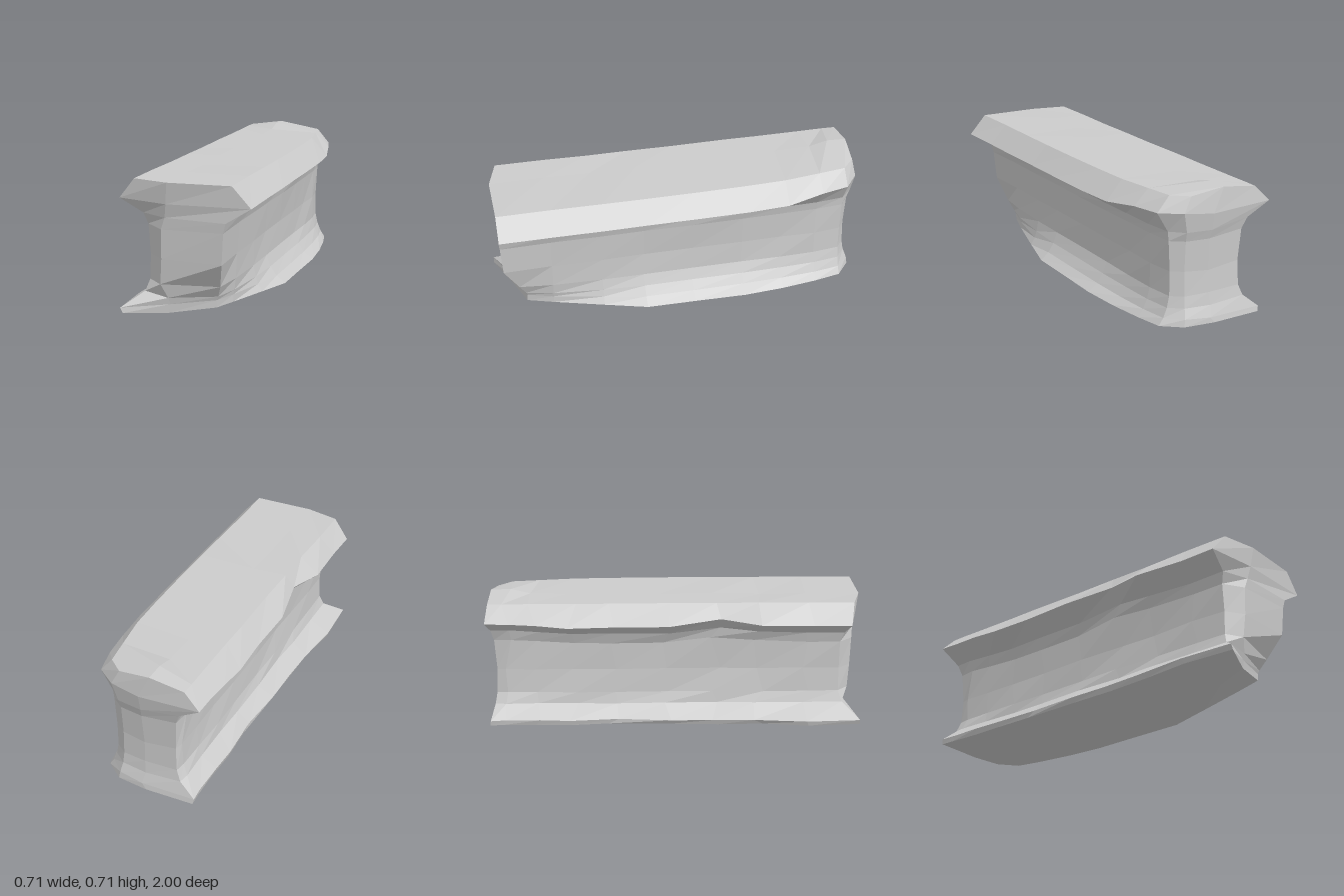
import * as THREE from 'three';

// Sections along the beam: z, reach of head, foot and web on each side, crown height, under-head lift, foot lift on the right
const stations = [
  // z, headL, headR, footL, footR, webL, webR, crown, lift, footLift
  [1.00, -0.345, 0.355, -0.32, 0.135, -0.20, 0.20, 0.683, 0.00, 0.03],
  [0.72, -0.345, 0.355, -0.335, 0.175, -0.20, 0.195, 0.685, 0.00, 0.025],
  [0.45, -0.355, 0.355, -0.31, 0.245, -0.20, 0.195, 0.68, 0.01, 0.012],
  [0.22, -0.30, 0.355, -0.30, 0.30, -0.20, 0.195, 0.687, 0.03, 0],
  [-0.05, -0.355, 0.35, -0.30, 0.305, -0.20, 0.195, 0.685, 0.00, 0],
  [-0.33, -0.345, 0.345, -0.29, 0.31, -0.20, 0.195, 0.685, 0.00, 0],
  [-0.55, -0.35, 0.335, -0.30, 0.295, -0.20, 0.195, 0.685, 0.00, 0],
  [-0.75, -0.345, 0.295, -0.30, 0.27, -0.20, 0.195, 0.69, 0.01, 0],
  [-0.90, -0.345, 0.255, -0.30, 0.235, -0.20, 0.18, 0.715, 0.02, 0],
  [-1.00, -0.345, 0.15, -0.305, 0.14, -0.19, 0.12, 0.712, 0.02, 0],
];

// Heights of the rows from foot to head, right and left
const rowsR = [0.012, 0.05, 0.10, 0.16, 0.29, 0.45, 0.50, 0.58, 0.685];
const rowsL = [0.012, 0.04, 0.11, 0.17, 0.30, 0.45, 0.51, 0.58, 0.685];
const N = rowsR.length;

// How far each row spreads from the web towards the foot or head tip
const flareR = [1, 0.55, 0.24, 0.04, 0, 0.08, 0.17, 1];
const flareL = [0.93, 1, 0.22, 0.04, 0, 0.06, 0.2, 1];
const flareNarrow = [1, 1, 0.85, 0.5, 0, 0.08, 0.17, 1];

// How far each row of the two broken ends reaches along z
const front = {
  right: [0.86, 0.86, 0.865, 0.90, 0.98, 0.99, 0.995, 1, 1],
  middle: [0.92, 0.92, 0.93, 0.95, 0.96, 0.965, 0.97, 0.985, 1],
  left: [1, 1, 0.91, 0.89, 0.89, 0.89, 0.91, 0.93, 0.95],
  middleX: -0.1,
};
const backReach = [-1, -0.995, -0.975, -0.965, -0.96, -0.97, -0.985, -1, -0.99];
const back = { right: backReach.map((z) => z * 0.98), middle: backReach, left: backReach, middleX: -0.03 };

// Small repeatable roughness
let seed = 7;
function rough(amount) {
  seed = (seed * 16807) % 2147483647;
  return (seed / 2147483647 - 0.5) * 2 * amount;
}

// Sideways position of a row on one side; the top edge stays straight on the left
function rowX(row, head, foot, web) {
  if (row === N - 1) return head > 0 ? head * 0.73 : -0.257;
  const narrow = Math.abs(foot) < Math.abs(web);
  const flare = narrow ? flareNarrow : web > 0 ? flareR : flareL;
  return web + ((row < 4 ? foot : head) - web) * flare[row];
}

function createBeamGeometry() {
  const verts = [];
  const index = [];
  const add = (x, y, z) => verts.push(x, y, z) / 3 - 1;
  const quad = (a, b, c, d) => index.push(a, b, c, a, c, d);

  // Closed loops: up the right side, over the crown, down the left side, under the foot
  const loops = stations.map(([z, hL, hR, fL, fR, wL, wR, crown, lift, footLift], s) => {
    const end = s === 0 ? front : s === stations.length - 1 ? back : null;
    const r = end ? 0.003 : 0.006;
    const loop = [];
    for (let i = 0; i < N; i++) {
      const x = Math.min(0.357, rowX(i, hR, fR, wR) + rough(r * 0.5));
      const up = s > 6 && i === 7 ? 0.025 : i < 2 ? footLift : 0;
      loop.push(add(x, rowsR[i] + up, end ? end.right[i] : z));
    }
    loop.push(add(-0.07, crown, end ? end.middle[N - 1] : z + rough(0.03)));
    for (let i = N - 1; i >= 0; i--) {
      const x = Math.max(-0.357, rowX(i, hL, fL, wL) + rough(r));
      const up = i > 4 && i < 8 ? lift : 0;
      loop.push(add(x, rowsL[i] + up + (i < 8 ? rough(r) * 0.5 : 0), end ? end.left[i] : z + rough(0.03)));
    }
    loop.push(add(end ? end.middleX : 0, Math.abs(z) < 0.3 ? 0 : 0.01, end ? end.middle[0] : z));
    return loop;
  });

  // Long sides
  const count = 2 * N + 2;
  for (let s = 0; s < loops.length - 1; s++) {
    const [a, b] = [loops[s], loops[s + 1]];
    for (let i = 0; i < count; i++) {
      const j = (i + 1) % count;
      quad(a[i], b[i], b[j], a[j]);
    }
  }

  // Worn ends, with a middle column between the two sides
  function closeEnd(loop, end, isFront) {
    const right = (i) => loop[i];
    const left = (i) => loop[2 * N - i];
    const mid = [loop[2 * N + 1]];
    for (let i = 1; i < N - 1; i++) {
      mid.push(add(end.middleX + rough(0.03), rowsR[i] + rough(0.012), end.middle[i]));
    }
    mid.push(loop[N]);
    for (let i = 0; i < N - 1; i++) {
      const cells = [
        [left(i), mid[i], mid[i + 1], left(i + 1)],
        [mid[i], right(i), right(i + 1), mid[i + 1]],
      ];
      for (const c of cells) quad(...(isFront ? c : c.reverse()));
    }
  }
  closeEnd(loops[0], front, true);
  closeEnd(loops[loops.length - 1], back, false);

  const geometry = new THREE.BufferGeometry();
  geometry.setAttribute('position', new THREE.Float32BufferAttribute(verts, 3));
  geometry.setIndex(index);
  const faceted = geometry.toNonIndexed();
  faceted.computeVertexNormals();
  return faceted;
}

export function createModel() {
  const group = new THREE.Group();
  group.name = 'wornBeam';
  const material = new THREE.MeshStandardMaterial({ color: 0xcccccc, flatShading: true });
  const beam = new THREE.Mesh(createBeamGeometry(), material);
  beam.name = 'beam';
  group.add(beam);
  return group;
}
